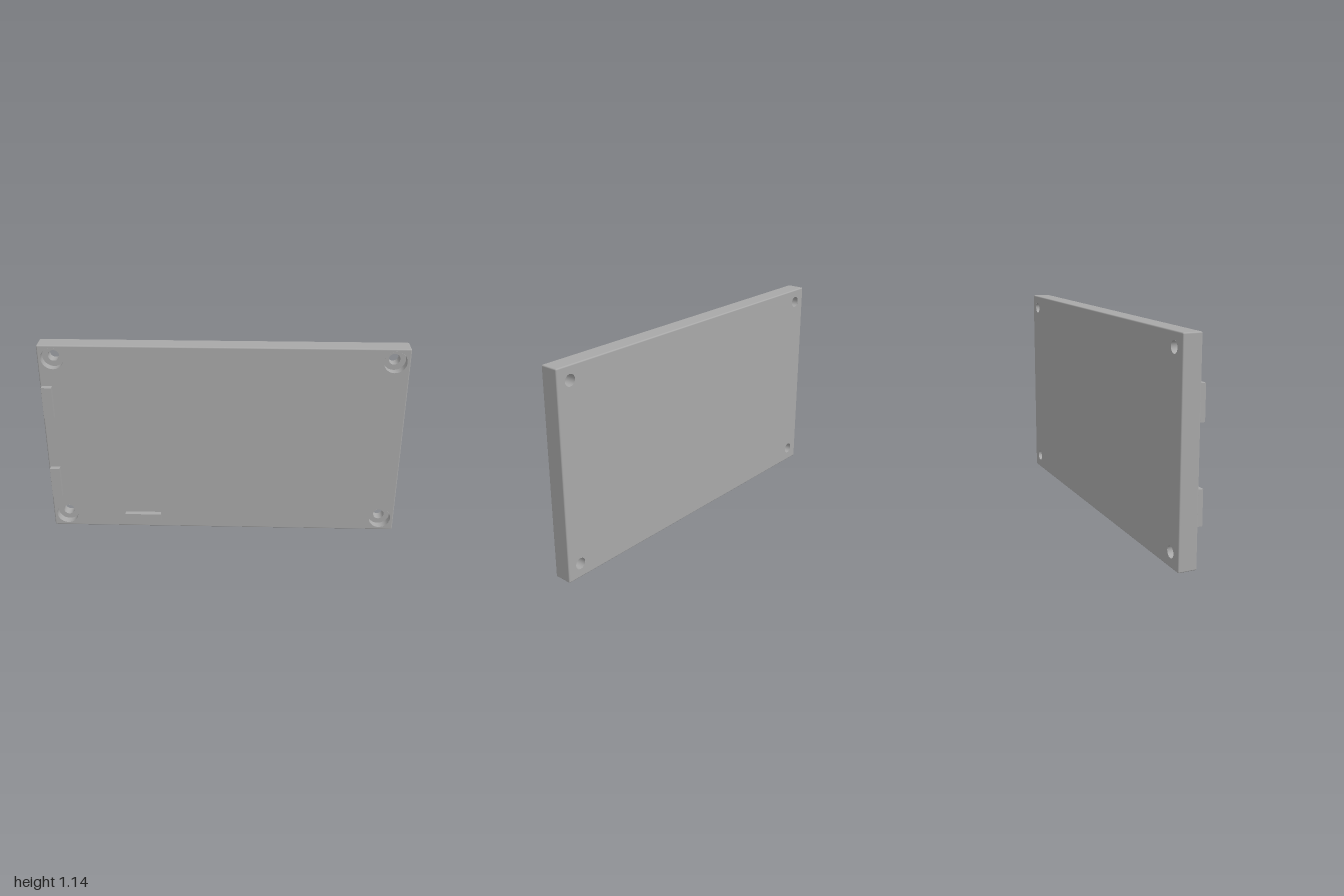
import * as THREE from 'three';

const HALF_W = 1, HEIGHT = 1.145, HALF_H = HEIGHT / 2;
const FRONT = 0.037, BACK = -0.065, SHOULDER = -0.008;
const EDGE = 0.007, BORE_R = 0.062, HOLE_R = 0.031, SIDES = 32;
const HOLES = [-0.92, 0.92].flatMap(x => [[x, 0.08], [x, HEIGHT - 0.075]]);

// Flat face of the plate with a round opening at each corner
function faceGeometry(radius) {
  const w = HALF_W - EDGE;
  const shape = new THREE.Shape();
  shape.moveTo(-w, EDGE);
  shape.lineTo(w, EDGE);
  shape.lineTo(w, HEIGHT - EDGE);
  shape.lineTo(-w, HEIGHT - EDGE);
  shape.closePath();
  for (const [x, y] of HOLES) {
    shape.holes.push(new THREE.Path().absarc(x, y, radius, 0, Math.PI * 2, true));
  }
  return new THREE.ShapeGeometry(shape, SIDES);
}

// Rim with small rounded edges, lofted from the back face to the front face
function rimGeometry() {
  const steps = 4, rings = [], outline = [];
  for (let i = 0; i <= steps; i++) rings.push([BACK + EDGE, -Math.PI / 2 * (1 - i / steps)]);
  for (let i = 0; i <= steps; i++) rings.push([FRONT - EDGE, Math.PI / 2 * i / steps]);
  [[1, 1], [-1, 1], [-1, -1], [1, -1]].forEach(([sx, sy], corner) => {
    for (let i = 0; i <= steps; i++) {
      outline.push([sx * (HALF_W - EDGE), sy * (HALF_H - EDGE), (corner + i / steps) * Math.PI / 2]);
    }
  });
  const pos = [], nor = [], idx = [], n = outline.length;
  rings.forEach(([z, lat], r) => {
    outline.forEach(([x, y, a], i) => {
      const nx = Math.cos(lat) * Math.cos(a), ny = Math.cos(lat) * Math.sin(a), nz = Math.sin(lat);
      pos.push(x + EDGE * nx, y + HALF_H + EDGE * ny, z + EDGE * nz);
      nor.push(nx, ny, nz);
      if (r === rings.length - 1) return;
      const p = r * n + i, q = r * n + (i + 1) % n;
      idx.push(p, q, q + n, p, q + n, p + n);
    });
  });
  const geo = new THREE.BufferGeometry();
  geo.setAttribute('position', new THREE.Float32BufferAttribute(pos, 3));
  geo.setAttribute('normal', new THREE.Float32BufferAttribute(nor, 3));
  geo.setIndex(idx);
  return geo;
}

// Open tube wall along z
function wallGeometry(radius, z0, z1) {
  return new THREE.CylinderGeometry(radius, radius, z1 - z0, SIDES, 1, true)
    .rotateX(Math.PI / 2).translate(0, 0, (z0 + z1) / 2);
}

export function createModel() {
  const model = new THREE.Group();
  model.name = 'mountingPlate';
  const grey = new THREE.MeshStandardMaterial({ color: 0xa8a8a8, side: THREE.DoubleSide });
  grey.name = 'grey';
  const add = (parent, name, geometry) => {
    const mesh = new THREE.Mesh(geometry, grey);
    mesh.name = name;
    parent.add(mesh);
    return mesh;
  };

  // Plate shell
  add(model, 'frontFace', faceGeometry(BORE_R).translate(0, 0, FRONT));
  const back = add(model, 'backFace', faceGeometry(HOLE_R).rotateY(Math.PI));
  back.position.z = BACK;
  add(model, 'rim', rimGeometry());

  // Counterbored screw holes
  for (const [x, y] of HOLES) {
    const hole = new THREE.Group();
    hole.name = 'screwHole';
    hole.position.set(x, y, 0);
    add(hole, 'counterboreWall', wallGeometry(BORE_R, SHOULDER, FRONT));
    add(hole, 'counterboreShoulder', new THREE.RingGeometry(HOLE_R, BORE_R, SIDES).translate(0, 0, SHOULDER));
    add(hole, 'holeWall', wallGeometry(HOLE_R, BACK, SHOULDER));
    model.add(hole);
  }

  // Raised tabs on the front: x0, x1, y0, y1
  const tabs = {
    upperSideTab: [-0.99, -0.935, 0.723, 0.908],
    lowerSideTab: [-0.99, -0.935, 0.215, 0.4],
    bottomTab: [-0.573, -0.364, 0.055, 0.1],
  };
  for (const [name, [x0, x1, y0, y1]] of Object.entries(tabs)) {
    const tab = add(model, name, new THREE.BoxGeometry(x1 - x0, y1 - y0, 0.032));
    tab.position.set((x0 + x1) / 2, (y0 + y1) / 2, 0.05);
  }
  return model;
}
